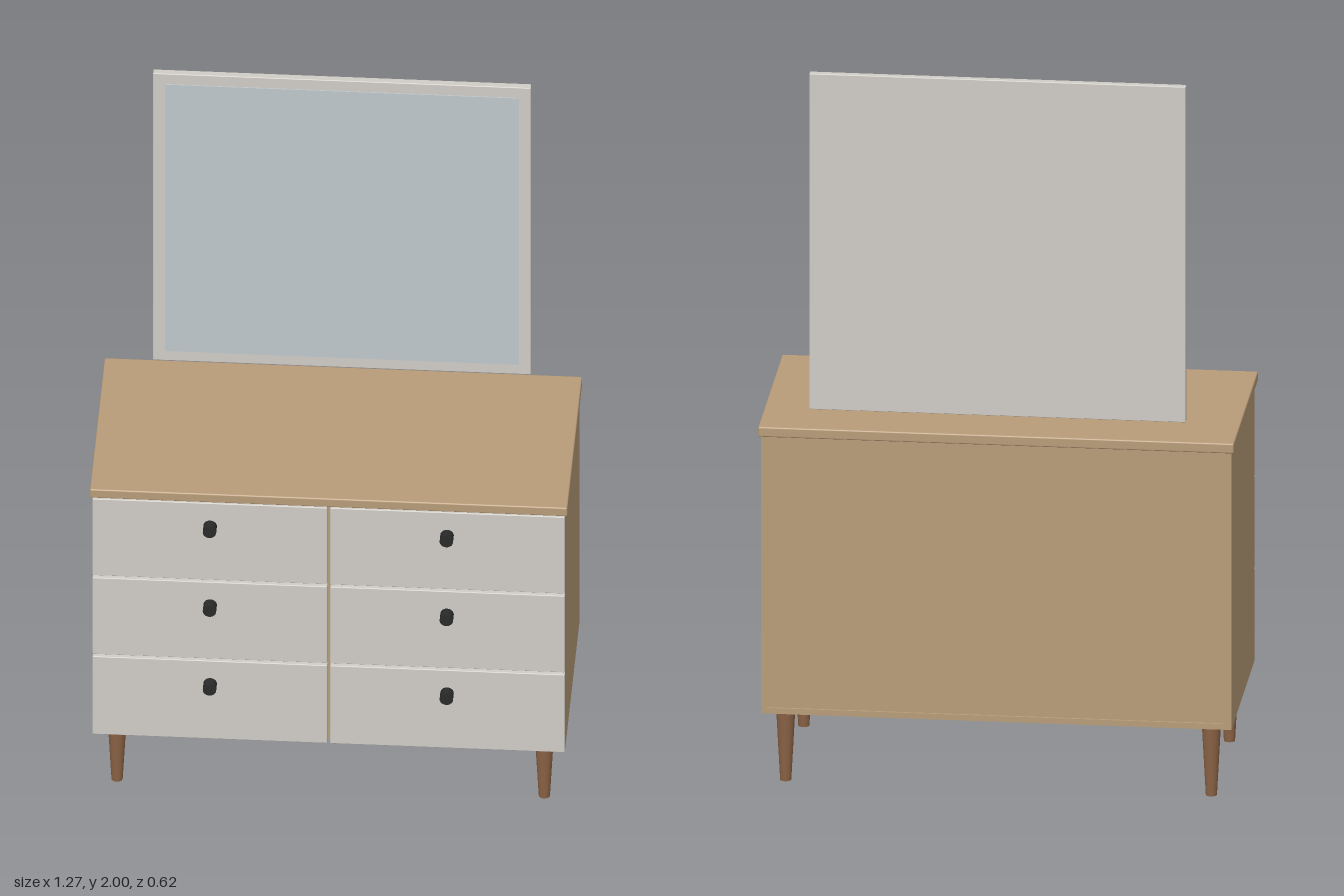
import * as THREE from 'three';
import { RoundedBoxGeometry } from 'three/addons/geometries/RoundedBoxGeometry.js';

const mat = (color) => new THREE.MeshStandardMaterial({ color });

export function createModel() {
  const model = new THREE.Group();
  model.name = 'dresserWithMirror';
  const wood = mat(0xb89c79), paint = mat(0xd0ccc6), glass = mat(0xc0c8cd);
  const legWood = mat(0x8a6244), black = mat(0x2a2a2a);

  const add = (name, geometry, material, x, y, z) => {
    const mesh = new THREE.Mesh(geometry, material);
    mesh.name = name;
    mesh.position.set(x, y, z);
    model.add(mesh);
    return mesh;
  };
  // box given by its extents, optionally with softened edges
  const box = (name, material, [x0, x1], [y0, y1], [z0, z1], r = 0) => {
    const size = [x1 - x0, y1 - y0, z1 - z0];
    const geometry = r ? new RoundedBoxGeometry(...size, 2, r) : new THREE.BoxGeometry(...size);
    return add(name, geometry, material, (x0 + x1) / 2, (y0 + y1) / 2, (z0 + z1) / 2);
  };

  // Carcass: sides, bottom and a slightly recessed back around a core
  const bottom = 0.205, top = 0.985, back = -0.308, front = 0.262, half = 0.63, t = 0.016;
  box('leftSide', wood, [half - t, half], [bottom, top], [back, front]);
  box('rightSide', wood, [-half, -half + t], [bottom, top], [back, front]);
  box('bottomPanel', wood, [-half + t, half - t], [bottom, bottom + t], [back, front]);
  box('carcassCore', wood, [-half + t, half - t], [bottom + t, top], [back + 0.006, front - 0.002]);
  box('topPanel', wood, [-0.637, 0.637], [top, 1.013], [-0.313, 0.283], 0.004);

  // Drawer fronts with round knobs, two columns by three rows
  const rowH = (top - bottom) / 3, gap = 0.004;
  const knob = new THREE.CylinderGeometry(0.018, 0.018, 0.031, 24).rotateX(Math.PI / 2);
  for (const side of [-1, 1]) {
    for (let row = 0; row < 3; row++) {
      const y0 = bottom + row * rowH;
      const xs = side > 0 ? [gap, half] : [-half, -gap];
      box('drawerFront', paint, xs, [y0 + (row ? gap : 0), y0 + rowH - gap], [front, 0.281], 0.002);
      add('drawerKnob', knob, black, side * 0.316, y0 + 0.182, 0.2955);
    }
  }

  // Tapered legs
  const leg = new THREE.CylinderGeometry(0.026, 0.015, bottom, 24);
  for (const x of [-0.57, 0.57]) {
    for (const z of [-0.247, 0.197]) add('leg', leg, legWood, x, bottom / 2, z);
  }

  // Mirror standing clear of the top
  box('mirrorFrame', paint, [-0.504, 0.504], [1.055, 2], [-0.274, -0.254], 0.002);
  box('mirrorGlass', glass, [-0.472, 0.472], [1.088, 1.967], [-0.256, -0.251]);

  return model;
}
